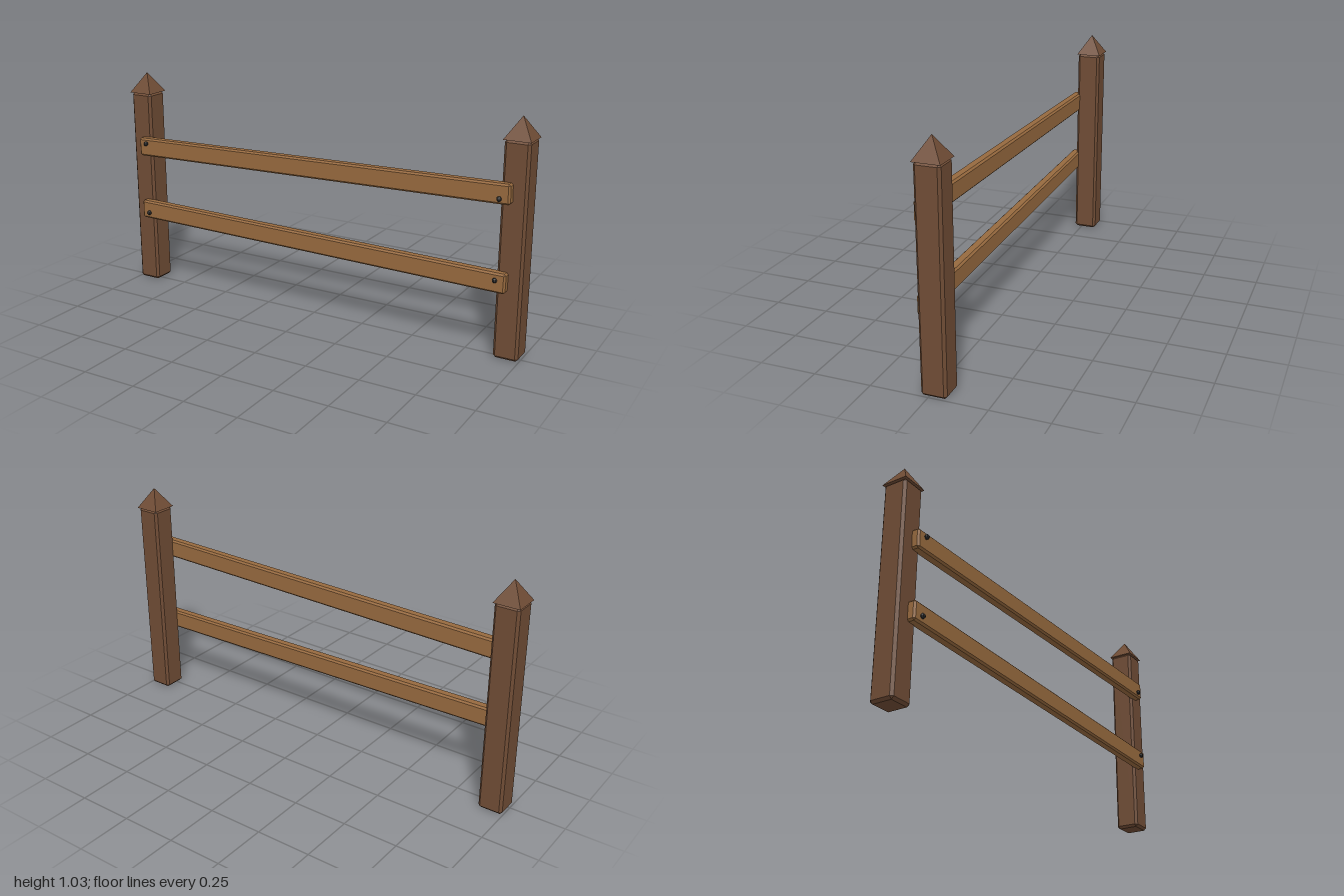
import * as THREE from 'three';
import { ConvexGeometry } from 'three/addons/geometries/ConvexGeometry.js';

// Box with every edge cut by a flat chamfer
function chamferBox(w, h, d, c) {
  const points = [];
  for (const x of [-1, 1]) for (const y of [-1, 1]) for (const z of [-1, 1]) {
    const [a, b, e] = [w / 2, h / 2, d / 2];
    points.push(
      new THREE.Vector3(x * a, y * (b - c), z * (e - c)),
      new THREE.Vector3(x * (a - c), y * b, z * (e - c)),
      new THREE.Vector3(x * (a - c), y * (b - c), z * e));
  }
  return new ConvexGeometry(points);
}

// Faceted normals
function faceted(geometry) {
  const g = geometry.toNonIndexed();
  g.computeVertexNormals();
  return g;
}

export function createModel() {
  const model = new THREE.Group();
  model.name = 'fence';

  const material = (name, color) => {
    const m = new THREE.MeshStandardMaterial({ color });
    m.name = name;
    return m;
  };
  const darkWood = material('darkWood', 0x6f4c35);
  const lightWood = material('lightWood', 0x96693e);
  const iron = material('iron', 0x2a2a2a);

  const add = (name, geometry, mat, x, y, z) => {
    const mesh = new THREE.Mesh(geometry, mat);
    mesh.name = name;
    mesh.position.set(x, y, z);
    model.add(mesh);
    return mesh;
  };

  // Posts with pyramid caps
  const postGeo = chamferBox(0.11, 0.943, 0.11, 0.011);
  const capGeo = faceted(new THREE.ConeGeometry(0.059 * Math.SQRT2, 0.093, 4, 1, false, Math.PI / 4));
  for (const [side, s] of [['left', 1], ['right', -1]]) {
    add(side + 'Post', postGeo, darkWood, s * 0.941, 0.4715, -0.02);
    add(side + 'PostCap', capGeo, darkWood, s * 0.941, 0.9885, -0.02);
  }

  // Slightly tilted rails, each with a nail at both ends
  const railGeo = chamferBox(1.872, 0.087, 0.046, 0.008);
  const nailGeo = faceted(new THREE.SphereGeometry(0.011, 8, 6));
  for (const [name, y, tilt] of [['upper', 0.708, 0.0213], ['lower', 0.361, -0.0147]]) {
    add(name + 'Rail', railGeo, lightWood, 0, y, 0.045).rotation.z = tilt;
    for (const [side, s] of [['Left', 1], ['Right', -1]]) {
      add(name + side + 'Nail', nailGeo, iron, s * 0.892, y, 0.073);
    }
  }
  return model;
}
